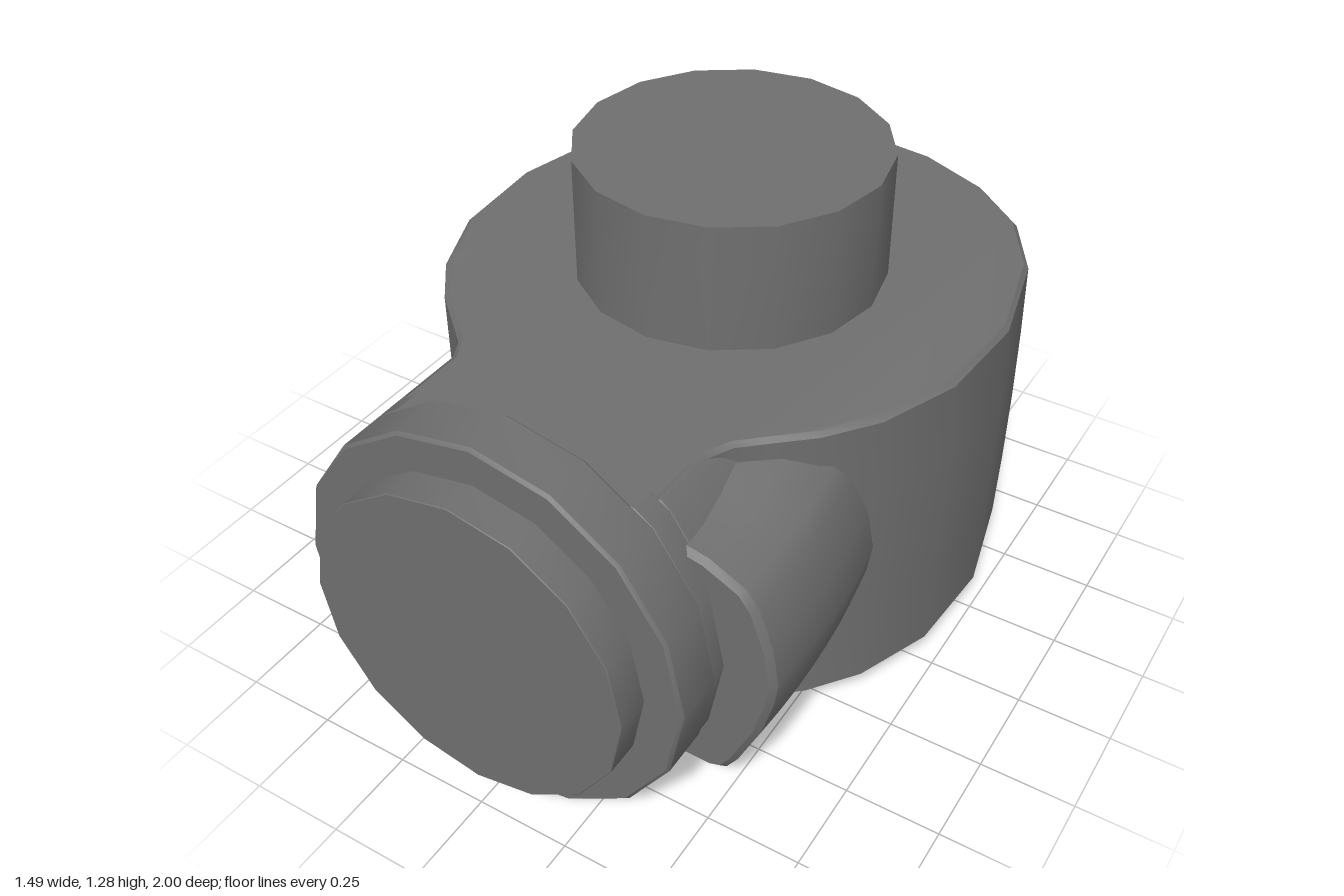
import * as THREE from 'three';
import { toCreasedNormals } from 'three/addons/utils/BufferGeometryUtils.js';

const AXIS_Y = 0.53; // height of the front port's axis

export function createModel() {
  const model = new THREE.Group();
  const material = new THREE.MeshStandardMaterial({ color: 0x6f6f6f });

  const add = (name, geometry) => {
    const mesh = new THREE.Mesh(toCreasedNormals(geometry, 0.6), material);
    mesh.name = name;
    model.add(mesh);
  };

  // Extrudes an outline from z0 to z1 with a small bevel that stays inside it
  const slab = (points, z0, z1, bevel, steps = 1) => {
    const shape = new THREE.Shape(points.map(([x, y]) => new THREE.Vector2(x, y)));
    return new THREE.ExtrudeGeometry(shape, {
      depth: z1 - z0 - 2 * bevel, steps, bevelThickness: bevel,
      bevelSize: bevel, bevelOffset: -bevel, bevelSegments: 1,
    }).translate(0, 0, z0 + bevel);
  };

  // Moves every vertex of a geometry by a rule
  const bend = (geometry, rule) => {
    const position = geometry.attributes.position;
    const v = new THREE.Vector3();
    for (let i = 0; i < position.count; i++) {
      rule(v.fromBufferAttribute(position, i));
      position.setXYZ(i, v.x, v.y, v.z);
    }
    return geometry;
  };

  // 16-sided disc around the front port's axis, with softened rims
  const disc = (radius, z0, z1, bevel) => {
    const profile = [[0, z0], [radius - bevel, z0], [radius, z0 + bevel],
      [radius, z1 - bevel], [radius - bevel, z1], [0, z1]];
    return new THREE.LatheGeometry(profile.map(([r, z]) => new THREE.Vector2(r, z)), 16)
      .rotateX(Math.PI / 2).translate(0, AXIS_Y, 0);
  };

  // Main housing: slightly barrelled drum whose plan flows into a narrow neck
  const half = [[0.21, -0.975], [0.41, -0.89], [0.57, -0.757], [0.678, -0.575],
    [0.746, -0.28], [0.726, 0], [0.635, 0.205], [0.54, 0.33], [0.45, 0.41],
    [0.39, 0.465], [0.357, 0.53], [0.35, 0.6], [0.35, 0.72]];
  const plan = [[0, -1], ...half, ...half.map(([x, z]) => [-x, z]).reverse()];
  const housing = slab(plan.map(([x, z]) => [x, -z]).reverse(), 0.07, 0.93, 0.012, 4)
    .rotateX(-Math.PI / 2);
  add('housing', bend(housing, (v) => {
    if (v.z > 0.2) return;
    const taper = 1 - 0.01 * ((v.y - 0.5) / 0.43) ** 2;
    v.x *= taper;
    v.z = -0.26 + (v.z + 0.26) * taper;
  }));

  // Neck: rounded shoulders, squared lower corner on the right-hand side
  add('neck', slab([[-0.35, 0.925], [-0.375, 0.905], [-0.49, 0.733], [-0.528, 0.53],
    [-0.518, 0.33], [-0.495, 0.13], [-0.475, 0.1], [-0.44, 0.088], [-0.3, 0.08],
    [0.3, 0.08], [0.375, 0.155], [0.49, 0.327], [0.525, 0.53], [0.49, 0.733],
    [0.375, 0.905], [0.35, 0.925]], 0, 0.71, 0.005));

  // Curved bulge on the left side of the neck, growing taller towards the drum
  const bulge = slab([[0.3, 0.165], [0.5, 0.162], [0.535, 0.175], [0.565, 0.22],
    [0.625, 0.35], [0.655, 0.46], [0.664, 0.53], [0.648, 0.63], [0.61, 0.735],
    [0.575, 0.78], [0.48, 0.825], [0.3, 0.86]], 0.05, 0.73, 0.015, 8);
  add('sideBulge', bend(bulge, (v) => {
    const rise = THREE.MathUtils.smoothstep(0.7 - v.z, 0, 0.4);
    if (v.y > AXIS_Y) v.y += 0.17 * rise * (v.y - AXIS_Y);
    v.x *= 1 - 0.35 * (v.z - 0.55) ** 2;
  }));

  // Collar: disc trimmed flat above and below
  const rim = [[0.245, 0.07], [0.375, 0.155], [0.487, 0.33], [0.526, AXIS_Y],
    [0.487, 0.73], [0.375, 0.905], [0.325, 0.94]];
  add('collar', slab([...rim, ...rim.map(([x, y]) => [-x, y]).reverse()], 0.705, 0.775, 0.004));

  // Front port: wide flange and end cap
  add('flange', disc(0.53, 0.768, 0.91, 0.008));
  add('portCap', disc(0.43, 0.89, 1, 0.002));

  // Upright post on top of the drum
  add('topPost', new THREE.CylinderGeometry(0.408, 0.408, 0.375, 16).translate(0, 1.0885, -0.187));

  return model;
}
